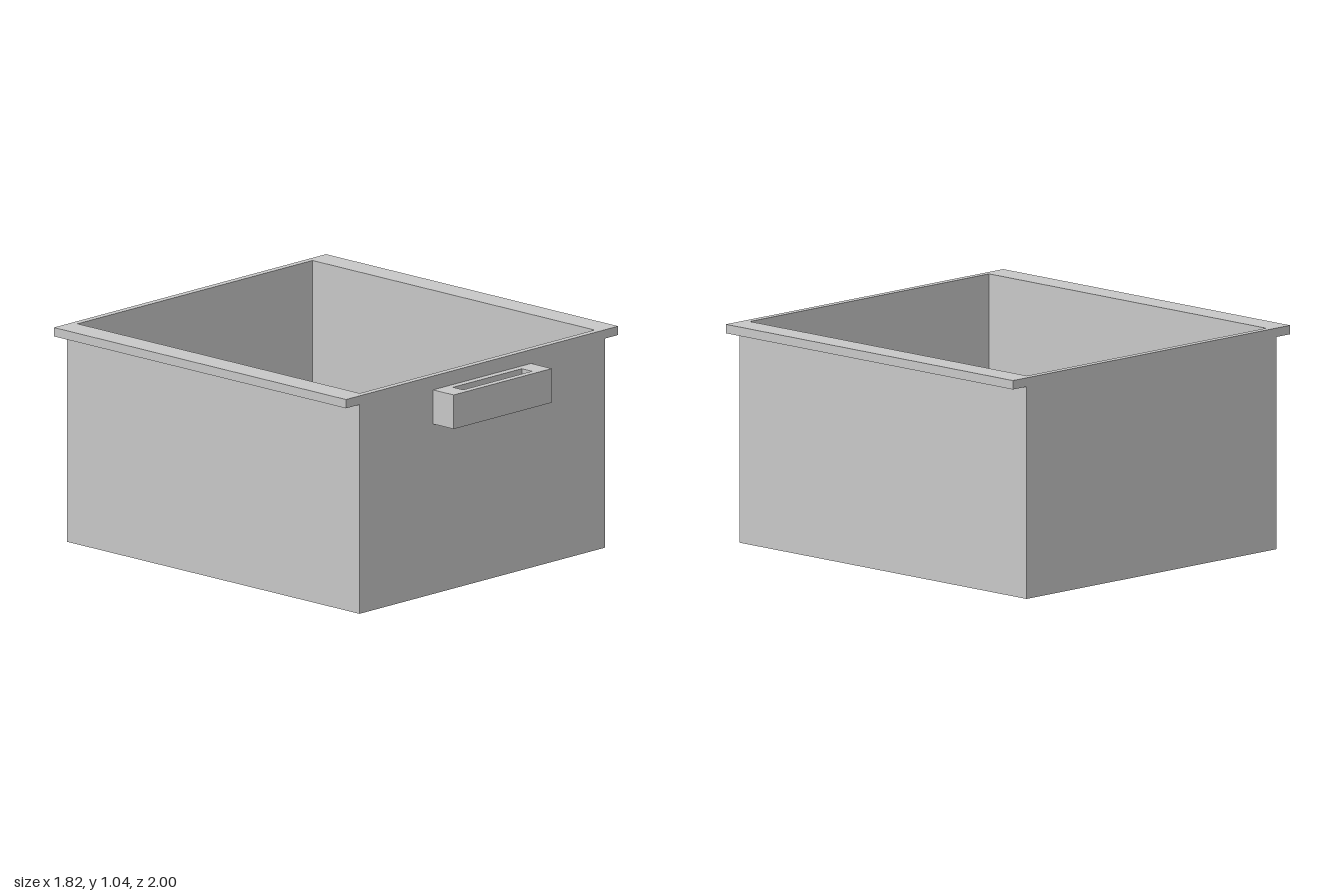
import * as THREE from 'three';

// Rectangular ring in plan (x, z ranges), extruded upward from y0 to y1
function ring(outer, inner, y0, y1) {
  const corners = ([x0, x1, z0, z1]) => [[x0, -z1], [x1, -z1], [x1, -z0], [x0, -z0]].map(([x, y]) => new THREE.Vector2(x, y));
  const shape = new THREE.Shape(corners(outer));
  shape.holes.push(new THREE.Path(corners(inner).reverse()));
  const geometry = new THREE.ExtrudeGeometry(shape, { depth: y1 - y0, bevelEnabled: false });
  return geometry.rotateX(-Math.PI / 2).translate(0, y0, 0);
}

function box(x0, x1, y0, y1, z0, z1) {
  return new THREE.BoxGeometry(x1 - x0, y1 - y0, z1 - z0)
    .translate((x0 + x1) / 2, (y0 + y1) / 2, (z0 + z1) / 2);
}

export function createModel() {
  const model = new THREE.Group();
  model.name = 'drawer';
  const grey = new THREE.MeshStandardMaterial({ color: 0xc8c8c8 });
  grey.name = 'grey';

  const add = (name, geometry) => {
    const mesh = new THREE.Mesh(geometry, grey);
    mesh.name = name;
    model.add(mesh);
  };

  const floor = 0.03, top = 1.042, front = 0.868;

  // Open box: four walls and a thin floor
  add('walls', ring([-0.82, 0.82, -1, front], [-0.785, 0.785, -0.967, 0.836], 0, top));
  add('floor', box(-0.785, 0.785, 0, floor, -0.967, 0.836));

  // Sliding flanges along both sides of the top
  add('leftFlange', box(0.82, 0.91, 1, top, -1, front));
  add('rightFlange', box(-0.91, -0.82, 1, top, -1, front));

  // Pull handle with a slot through it from top to bottom
  add('handle', ring([-0.328, 0.328, front, 1], [-0.23, 0.23, 0.902, 0.967], 0.813, 0.976));

  return model;
}
